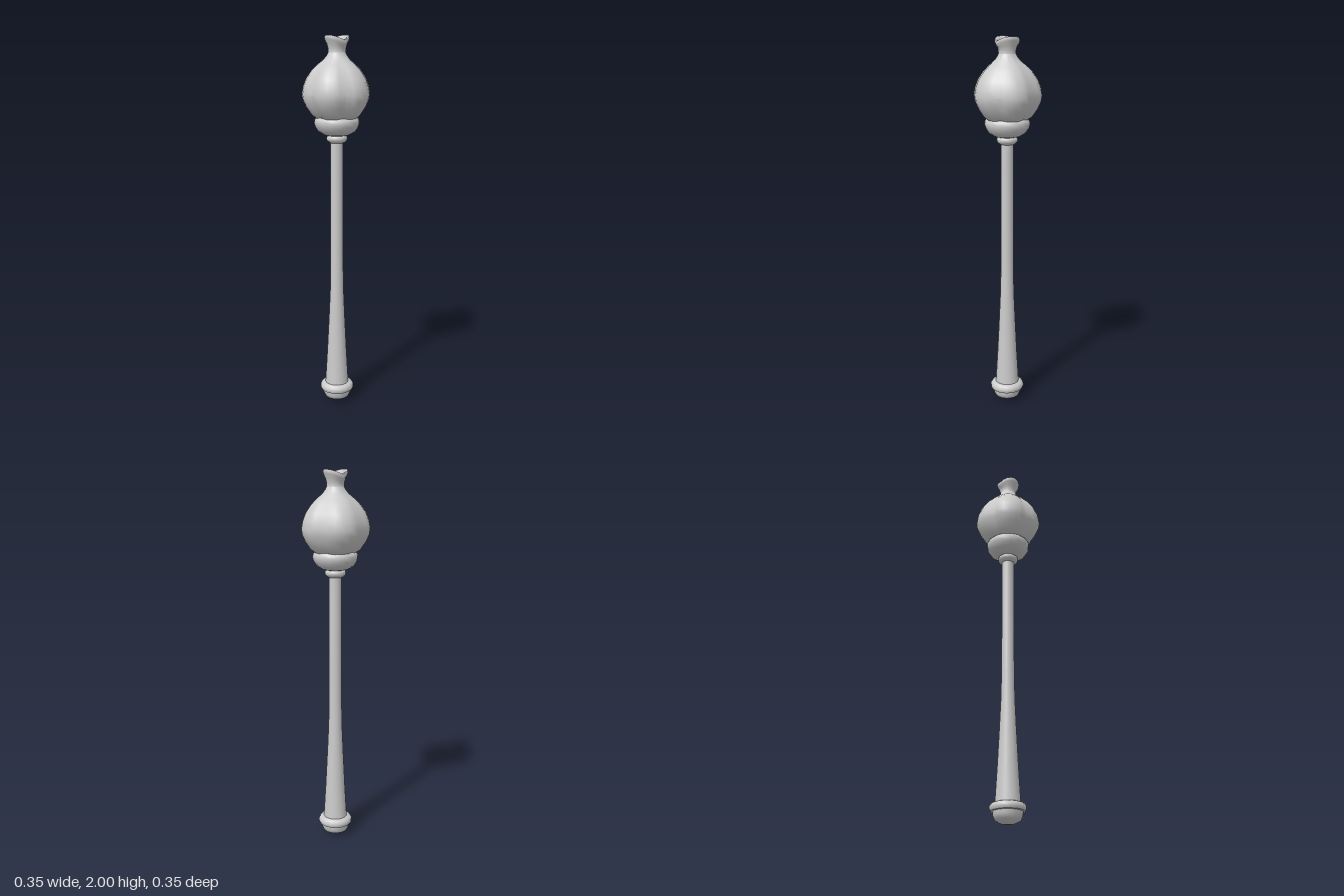
import * as THREE from 'three';
import { toCreasedNormals } from 'three/addons/utils/BufferGeometryUtils.js';

const material = new THREE.MeshStandardMaterial({ color: 0xcccccc });
const lathe = (profile, sides) =>
  new THREE.LatheGeometry(profile.map(([r, y]) => new THREE.Vector2(r, y)), sides);

export function createModel() {
  const group = new THREE.Group();
  const add = (name, geometry, crease = 0.9) => {
    const mesh = new THREE.Mesh(toCreasedNormals(geometry, crease), material);
    mesh.name = name;
    group.add(mesh);
  };

  // Rounded end cap with its bead
  add('pommel', lathe([
    [0, 0], [0.04, 0.006], [0.066, 0.02], [0.075, 0.04], [0.077, 0.06],
    [0.087, 0.062], [0.092, 0.072], [0.092, 0.085], [0.084, 0.098], [0.068, 0.104], [0.05, 0.105],
  ], 16));

  // Long handle, flaring towards the pommel
  add('handle', lathe([
    [0.065, 0.095], [0.054, 0.28], [0.044, 0.48], [0.037, 0.64], [0.034, 0.8], [0.033, 1.47],
  ], 16));

  // Thin ring under the head
  add('neckRing', lathe([
    [0.03, 1.452], [0.038, 1.453], [0.052, 1.464], [0.056, 1.475], [0.053, 1.486], [0.04, 1.494],
  ], 16));

  // Stepped collar holding the bulb
  add('collar', lathe([
    [0.035, 1.488], [0.07, 1.497], [0.098, 1.514], [0.107, 1.528], [0.115, 1.542],
    [0.119, 1.56], [0.116, 1.576], [0.106, 1.586], [0.08, 1.59],
  ], 16));

  // Bulb with five uneven lobes: each row is radius, height, groove depth
  const rows = [
    [0.07, 1.57, 0.1], [0.105, 1.58, 0.12], [0.132, 1.6, 0.13], [0.16, 1.64, 0.13],
    [0.176, 1.675, 0.12], [0.181, 1.705, 0.11], [0.174, 1.745, 0.11], [0.158, 1.785, 0.11],
    [0.13, 1.825, 0.11], [0.098, 1.856, 0.08], [0.068, 1.88, 0.03], [0.052, 1.9, 0], [0.045, 1.915, 0],
  ];
  const grooves = [-36, 33, 100, 184, 255.5, 324].map(THREE.MathUtils.degToRad);
  const steps = 6;
  const bulb = lathe(rows, 5 * steps);
  const bp = bulb.attributes.position;
  for (let i = 0; i <= 5 * steps; i++) {
    const lobe = Math.min(4, Math.floor(i / steps));
    const t = i / steps - lobe;
    const angle = THREE.MathUtils.lerp(grooves[lobe], grooves[lobe + 1], t);
    const notch = Math.pow(1 - Math.sin(Math.PI * t), 1.5);
    rows.forEach(([r, y, depth], j) => {
      const radius = r * (1 - depth * notch);
      bp.setXYZ(i * rows.length + j, radius * Math.sin(angle), y, radius * Math.cos(angle));
    });
  }
  add('lobedBulb', bulb, 0.6);

  // Flared mouth, folded into a shallow V across the top
  const crown = lathe([
    [0.05, 1.9], [0.045, 1.915], [0.046, 1.935], [0.052, 1.96], [0.061, 1.98], [0.065, 1.992],
    [0.062, 2.001], [0.054, 2.003], [0.046, 1.996], [0.041, 1.982], [0, 1.968],
  ], 16);
  const cp = crown.attributes.position;
  for (let i = 0; i < cp.count; i++) {
    const lift = THREE.MathUtils.clamp((cp.getY(i) - 1.93) / 0.05, 0, 1);
    const side = Math.min(1, Math.abs(cp.getX(i)) / 0.06);
    cp.setY(i, cp.getY(i) - 0.025 * lift * (1 - side));
  }
  crown.rotateY(-0.23);
  add('crownMouth', crown);

  return group;
}
